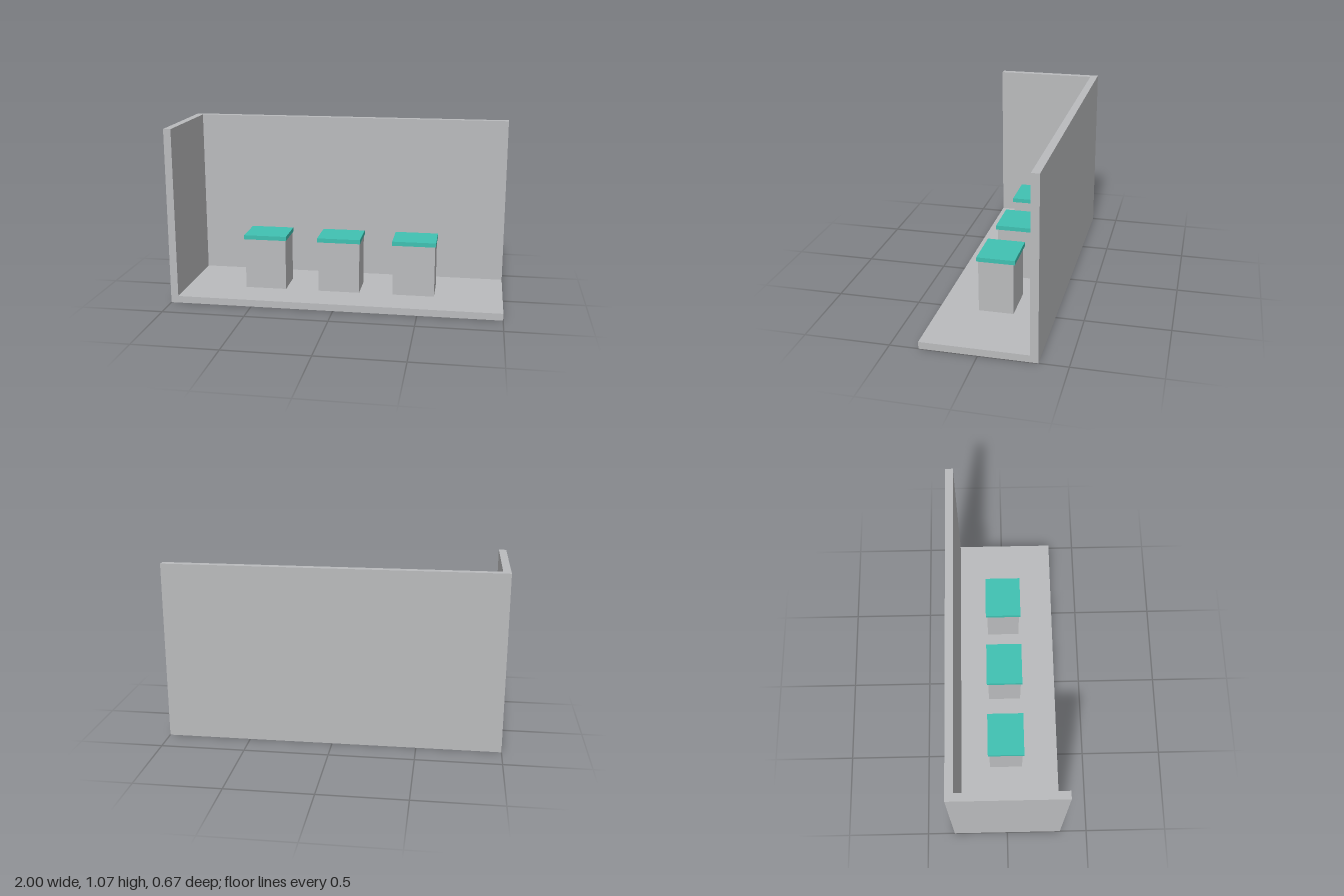
import * as THREE from 'three';

export function createModel() {
  const model = new THREE.Group();
  model.name = 'benchDisplay';
  const grey = new THREE.MeshStandardMaterial({ name: 'light grey', color: 0xbabbbd });
  const teal = new THREE.MeshStandardMaterial({ name: 'teal', color: 0x40c1b2 });

  // Box given by its lower and upper bounds on each axis
  function block(name, material, [x0, x1], [y0, y1], [z0, z1], parent = model) {
    const mesh = new THREE.Mesh(new THREE.BoxGeometry(x1 - x0, y1 - y0, z1 - z0), material);
    mesh.position.set((x0 + x1) / 2, (y0 + y1) / 2, (z0 + z1) / 2);
    mesh.name = name;
    parent.add(mesh);
  }

  // Floor and the two walls, butted together
  const H = 1.069, D = 0.333, floorTop = 0.042, backFace = -0.287, sideFace = -0.955;
  block('floor', grey, [-1, 1], [0, floorTop], [-D, D]);
  block('backWall', grey, [-1, 1], [floorTop, H], [-D, backFace]);
  block('sideWall', grey, [-1, sideFace], [floorTop, H], [backFace, D]);

  // Three stools: grey pedestal with an overhanging teal seat
  for (const x of [-0.46, 0, 0.46]) {
    const stool = new THREE.Group();
    stool.name = 'stool';
    stool.position.x = x;
    block('pedestal', grey, [-0.127, 0.127], [floorTop, 0.356], [-0.103, 0.103], stool);
    block('seat', teal, [-0.132, 0.132], [0.356, 0.382], [-0.112, 0.112], stool);
    model.add(stool);
  }
  return model;
}
